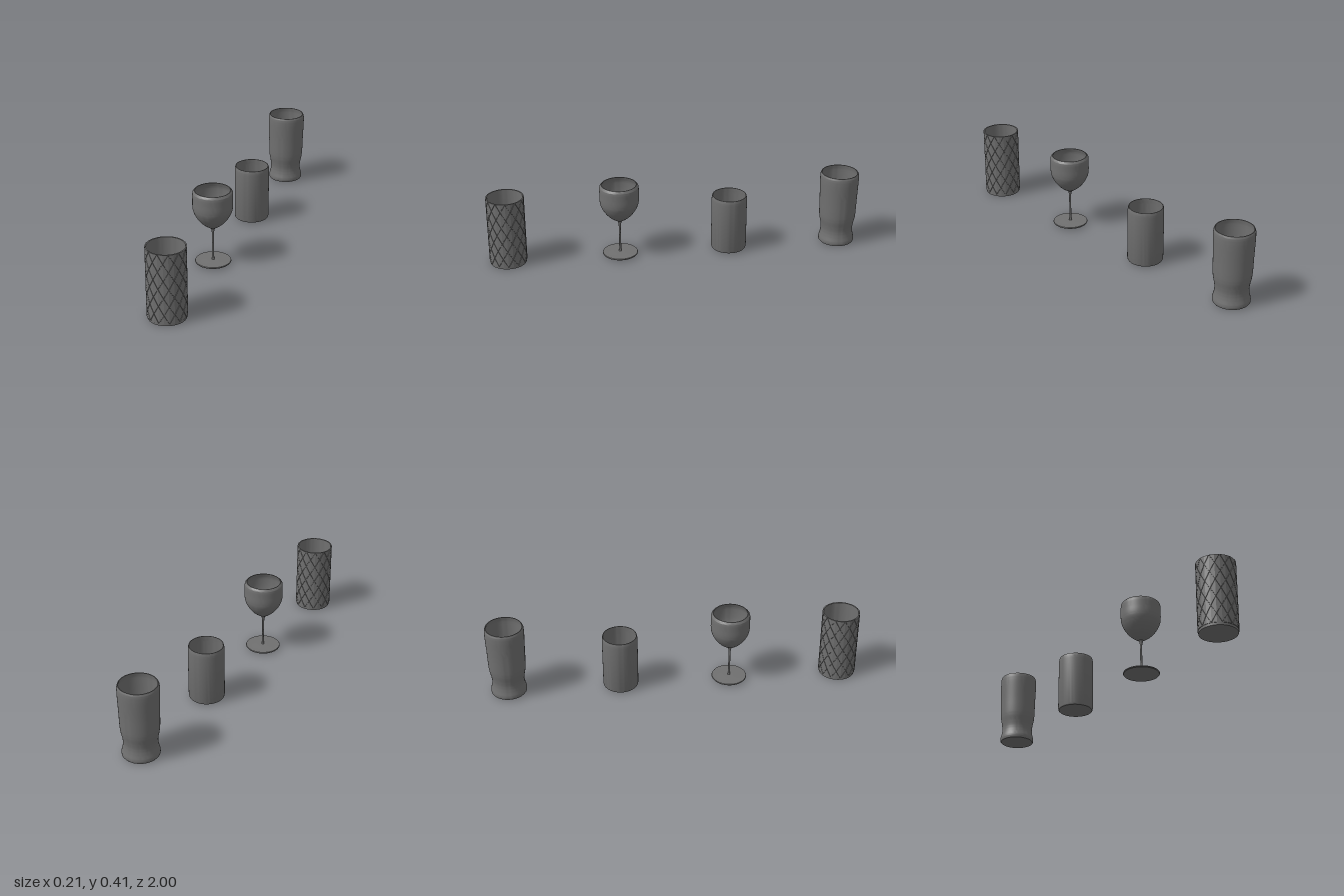
import * as THREE from 'three';
import { toCreasedNormals } from 'three/addons/utils/BufferGeometryUtils.js';

const material = new THREE.MeshStandardMaterial({ color: 0x707070, side: THREE.DoubleSide });

const spline = (pts, n = 20) =>
  new THREE.SplineCurve(pts.map(([r, y]) => new THREE.Vector2(r, y))).getPoints(n);
const corners = (pts) => pts.map(([r, y]) => new THREE.Vector2(r, y));

// Closed profile (outside going up, inside going down) turned round the y axis
function turned(name, profile) {
  const mesh = new THREE.Mesh(toCreasedNormals(new THREE.LatheGeometry(profile, 64), 0.7), material);
  mesh.name = name;
  return mesh;
}

// Raised lozenge bent round a cylinder: a four-sided prism whose x becomes the angle
function lozenge(angle, y, halfAngle, halfHeight, rIn, rOut, yMin, yMax) {
  const g = new THREE.CylinderGeometry(0.94, 0.97, 1, 4).toNonIndexed();
  const p = g.attributes.position;
  for (let i = 0; i < p.count; i++) {
    const a = angle + p.getX(i) * halfAngle;
    const r = p.getY(i) > 0 ? rOut : rIn;
    const h = THREE.MathUtils.clamp(y - p.getZ(i) * halfHeight, yMin, yMax);
    p.setXYZ(i, Math.sin(a) * r, h, Math.cos(a) * r);
  }
  g.computeVertexNormals();
  return new THREE.Mesh(g, material);
}

function cutTumbler() {
  const g = new THREE.Group();
  g.name = 'cutTumbler';
  g.add(turned('tumblerCup', corners([
    [0, 0], [0.096, 0], [0.0965, 0.012], [0.0965, 0.378], [0.093, 0.378], [0.093, 0.012], [0, 0.012],
  ])));
  const cuts = new THREE.Group();
  cuts.name = 'diamondCuts';
  const around = 12, rows = 4, y0 = 0.013, y1 = 0.378;
  const half = (y1 - y0) / rows / 2;
  // alternate rows are shifted by half a diamond; the end rows are cut in half
  for (let row = 0; row <= rows * 2; row++) {
    for (let i = 0; i < around; i++) {
      const angle = ((i + (row % 2 ? 0 : 0.5)) / around) * Math.PI * 2;
      cuts.add(lozenge(angle, y0 + row * half, Math.PI / around, half, 0.096, 0.1, y0, y1));
    }
  }
  g.add(cuts);
  return g;
}

function wineGlass() {
  const g = new THREE.Group();
  g.name = 'wineGlass';
  g.add(turned('wineBowl', [
    ...corners([[0, 0.196]]),
    ...spline([[0.008, 0.197], [0.03, 0.209], [0.06, 0.233], [0.085, 0.265], [0.1, 0.297],
      [0.1045, 0.325], [0.1045, 0.36], [0.1042, 0.392], [0.102, 0.403], [0.094, 0.412]], 36),
    ...spline([[0.09, 0.412], [0.096, 0.396], [0.1, 0.38], [0.1, 0.34], [0.095, 0.302],
      [0.081, 0.27], [0.056, 0.239], [0.028, 0.215], [0.01, 0.206]], 30),
    // small dimple above the stem
    ...corners([[0.006, 0.2], [0, 0.199]]),
  ]));
  g.add(turned('wineStem', [
    ...corners([[0, 0.012]]),
    ...spline([[0.012, 0.012], [0.0065, 0.022], [0.0055, 0.06], [0.0055, 0.16], [0.008, 0.185], [0.012, 0.198]]),
    ...corners([[0, 0.198]]),
  ]));
  g.add(turned('wineFoot', corners([
    [0, 0.007], [0.092, 0.007], [0.095, 0.011], [0.093, 0.015], [0.04, 0.016], [0.01, 0.018], [0, 0.018],
  ])));
  return g;
}

function shortGlass() {
  return turned('shortGlass', [
    ...corners([[0, 0.005], [0.09, 0.005]]),
    ...spline([[0.093, 0.008], [0.095, 0.017]], 3),
    ...spline([[0.095, 0.28], [0.0945, 0.295], [0.093, 0.306], [0.091, 0.313]], 8),
    ...spline([[0.088, 0.313], [0.089, 0.3], [0.091, 0.28]], 6),
    ...corners([[0.091, 0.016], [0, 0.016]]),
  ]);
}

function tallGlass() {
  return turned('tallGlass', [
    ...corners([[0, 0.005], [0.091, 0.005]]),
    ...spline([[0.0955, 0.011], [0.0955, 0.026], [0.089, 0.053], [0.086, 0.08], [0.089, 0.11],
      [0.0965, 0.15], [0.099, 0.19], [0.1005, 0.26], [0.1035, 0.35], [0.1035, 0.385],
      [0.102, 0.4], [0.098, 0.409]], 44),
    ...spline([[0.094, 0.409], [0.098, 0.385], [0.098, 0.35], [0.0965, 0.26], [0.095, 0.19],
      [0.0925, 0.15], [0.085, 0.11], [0.082, 0.08], [0.085, 0.055], [0.091, 0.028], [0.091, 0.018]], 40),
    ...corners([[0, 0.018]]),
  ]);
}

export function createModel() {
  const model = new THREE.Group();
  model.name = 'glassSet';
  // Row of four glasses, front to back
  [[cutTumbler, 0.9], [wineGlass, 0.3], [shortGlass, -0.293], [tallGlass, -0.896]].forEach(([make, z]) => {
    const glass = make();
    glass.position.z = z;
    model.add(glass);
  });
  return model;
}
